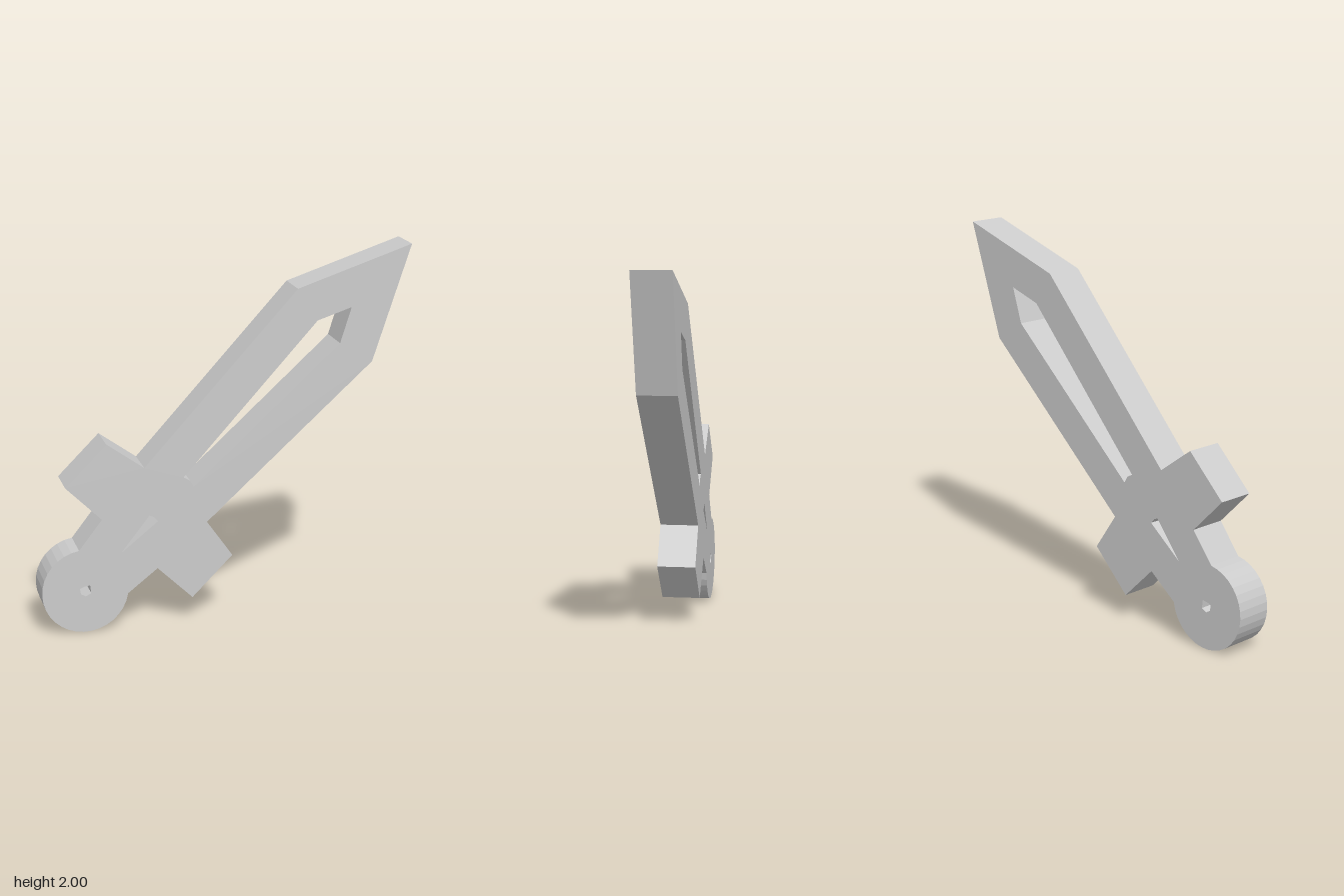
import * as THREE from 'three';

const DEPTH = 0.205;
const toPoints = (list) => list.map(([x, y]) => new THREE.Vector2(x, y));

// Points along a circular arc, angles in degrees
function arc(cx, cy, r, from, to, steps) {
  return Array.from({ length: steps + 1 }, (_, i) => {
    const a = THREE.MathUtils.degToRad(from + ((to - from) * i) / steps);
    return [cx + r * Math.cos(a), cy + r * Math.sin(a)];
  });
}

export function createModel() {
  const group = new THREE.Group();
  group.name = 'sword';

  // Silhouette, counter-clockwise
  const outline = [
    ...arc(-0.77, 0.235, 0.231, 97.4, 351, 24), // round pommel
    [-0.38, 0.325], [-0.19, 0.14], [0.03, 0.36], [-0.11, 0.56], // grip and lower guard
    [0.795, 1.38], [1, 2], [0.38, 1.795], // blade and tip
    [-0.445, 0.89], [-0.645, 1.035], [-0.865, 0.815], [-0.675, 0.625], // upper guard
  ];

  const holes = [
    // blade slot
    [[-0.235, 0.82], [0.49, 1.62], [0.675, 1.68], [0.615, 1.49], [-0.18, 0.765], [-0.2, 0.8]],
    // grip slot
    [[-0.575, 0.43], [-0.42, 0.625], [-0.398, 0.615], [-0.375, 0.59]],
    // pommel hole
    [[-0.8, 0.25], [-0.778, 0.26], [-0.745, 0.265], [-0.74, 0.22], [-0.77, 0.205], [-0.795, 0.22]],
  ];

  const shape = new THREE.Shape(toPoints(outline));
  shape.holes = holes.map((h) => new THREE.Path(toPoints(h)));

  const geometry = new THREE.ExtrudeGeometry(shape, { depth: DEPTH, bevelEnabled: false });
  geometry.translate(0, 0, -DEPTH / 2);

  // One flat plate: blade, guard, grip and pommel
  const body = new THREE.Mesh(
    geometry,
    new THREE.MeshStandardMaterial({ color: 0xcccccc, flatShading: true })
  );
  body.name = 'swordBody';
  group.add(body);
  return group;
}
